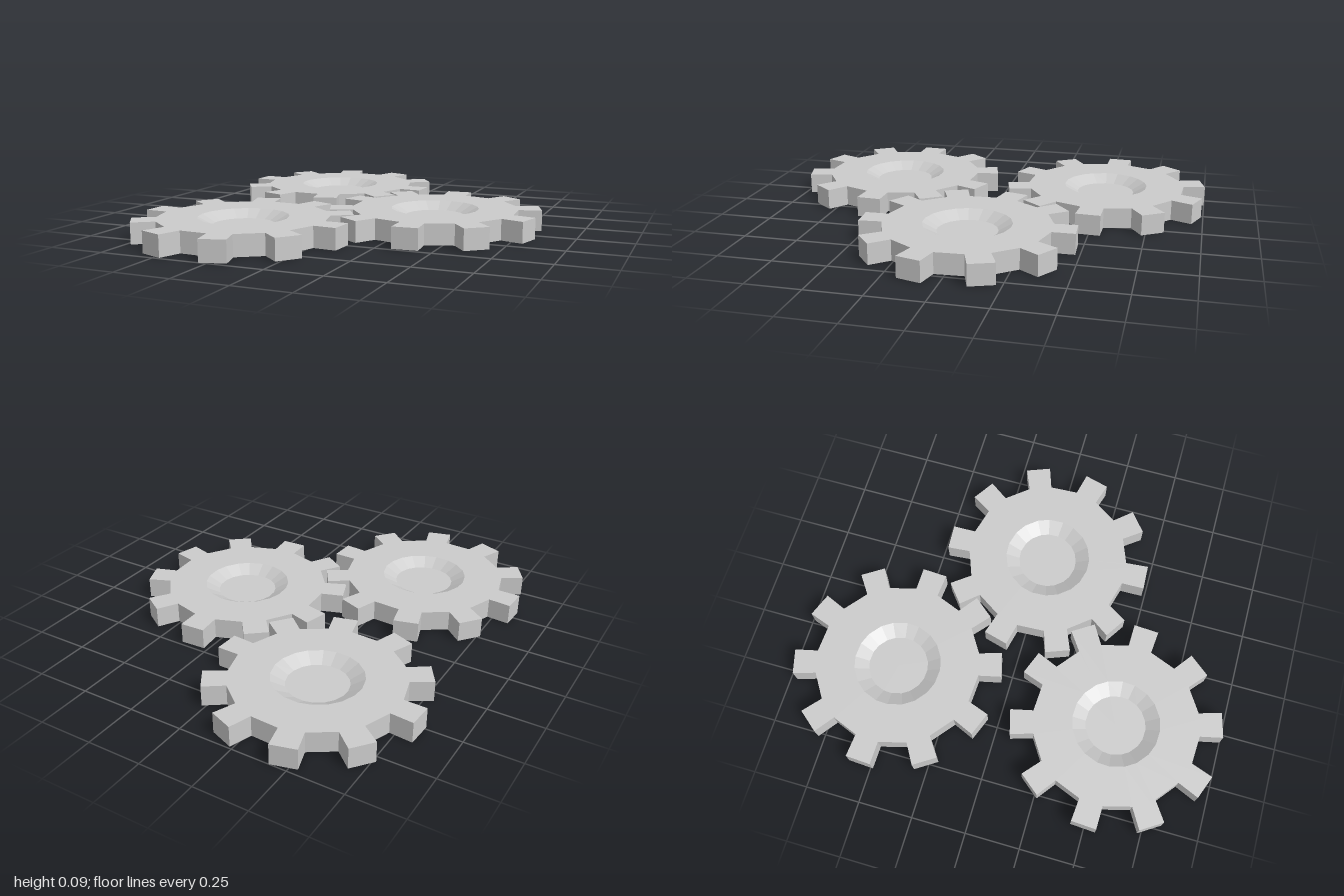
import * as THREE from 'three';

const TEETH = 10, HEIGHT = 0.095, DISH = 0.035;
const ROOT_R = 0.379, TIP_R = 0.484, RIM_R = 0.2, FLOOR_R = 0.137;
const ROOT_A = THREE.MathUtils.degToRad(8.2), TIP_A = THREE.MathUtils.degToRad(6.85);

// One gear: rings of points running from the bottom centre, round the toothed edge, to the top centre
function gearGeometry() {
  const outline = [], hub = [];
  for (let t = 0; t < TEETH; t++) {
    const mid = (t / TEETH) * Math.PI * 2;
    for (const [r, a, h] of [[ROOT_R, -ROOT_A, -ROOT_A], [TIP_R, -TIP_A, -ROOT_A], [TIP_R, TIP_A, ROOT_A], [ROOT_R, ROOT_A, ROOT_A]]) {
      outline.push([r, mid + a]);
      hub.push(mid + h);
    }
  }
  const ring = (polar, y) => polar.map(([r, a]) => new THREE.Vector3(r * Math.cos(a), y, r * Math.sin(a)));
  const circle = (r, y) => ring(hub.map((a) => [r, a]), y);
  const rings = [
    circle(0, DISH), circle(FLOOR_R, DISH), circle(RIM_R, 0), ring(outline, 0),
    ring(outline, HEIGHT), circle(RIM_R, HEIGHT), circle(FLOOR_R, HEIGHT - DISH), circle(0, HEIGHT - DISH),
  ];

  const positions = [];
  const addTriangle = (...corners) => {
    if (new THREE.Triangle(...corners).getArea() < 1e-7) return;
    corners.forEach((p) => positions.push(p.x, p.y, p.z));
  };
  for (let k = 0; k < rings.length - 1; k++) {
    for (let i = 0; i < outline.length; i++) {
      const j = (i + 1) % outline.length;
      const a = rings[k][i], b = rings[k][j], c = rings[k + 1][j], d = rings[k + 1][i];
      addTriangle(a, d, c);
      addTriangle(a, c, b);
    }
  }
  const geometry = new THREE.BufferGeometry();
  geometry.setAttribute('position', new THREE.Float32BufferAttribute(positions, 3));
  geometry.computeVertexNormals();
  return geometry;
}

export function createModel() {
  const model = new THREE.Group();
  model.name = 'gearTrain';
  const material = new THREE.MeshStandardMaterial({ color: 0xcccccc, flatShading: true });
  const geometry = gearGeometry();

  // Three meshing gears: name, x, z, turn in degrees
  const gears = [
    ['backGear', -0.355, -0.521, 3.1],
    ['frontGear', -0.355, 0.521, 3.1],
    ['sideGear', 0.353, 0.003, 15],
  ];
  for (const [name, x, z, turn] of gears) {
    const gear = new THREE.Mesh(geometry, material);
    gear.name = name;
    gear.position.set(x, 0, z);
    gear.rotation.y = -THREE.MathUtils.degToRad(turn);
    model.add(gear);
  }
  return model;
}
